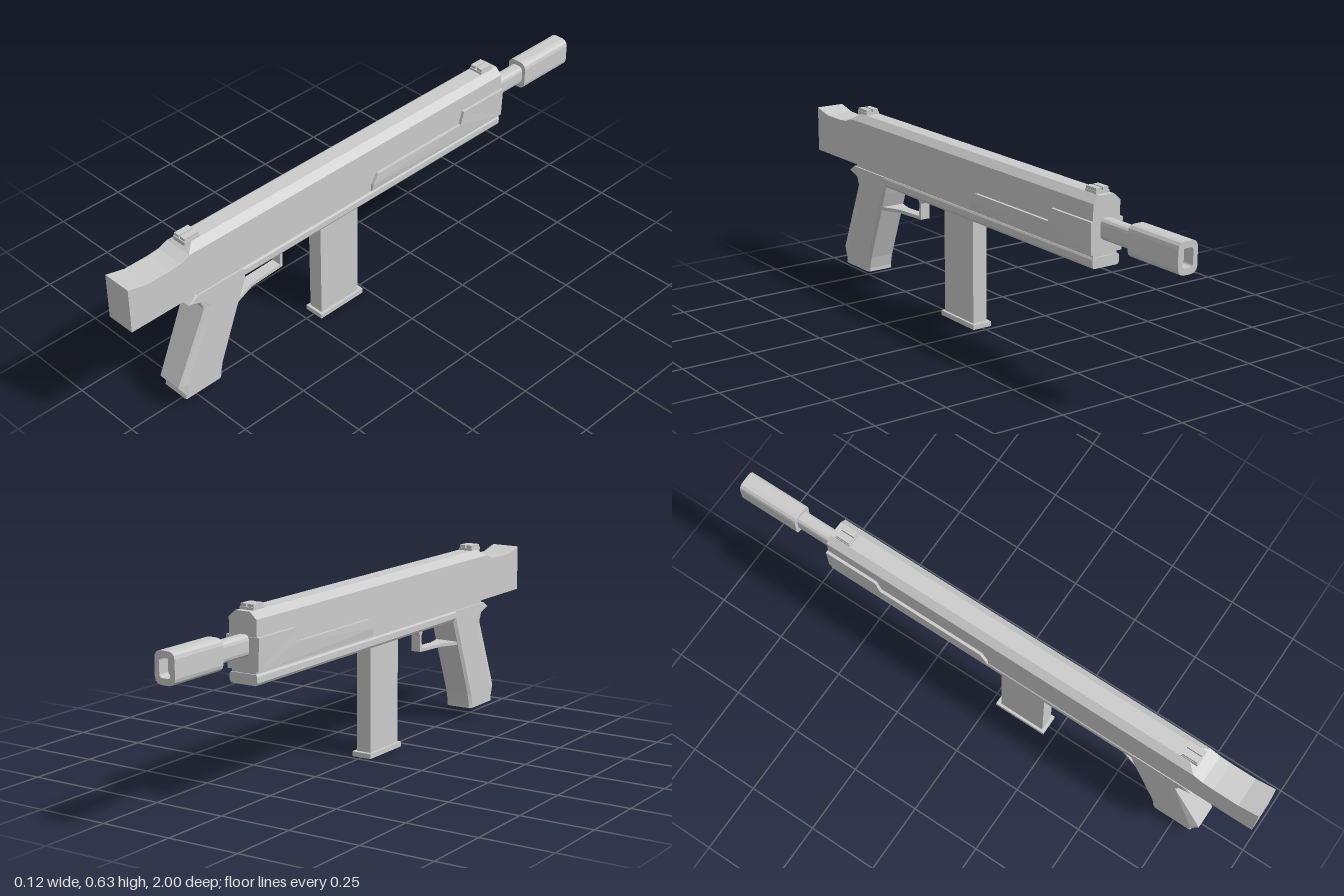
import * as THREE from 'three';

const material = new THREE.MeshStandardMaterial({ color: 0xcccccc, flatShading: true });

// Skin over convex cross-sections, capped at both ends
function loft(sections) {
  const pos = [];
  const tri = (a, b, c) => pos.push(...a, ...b, ...c);
  const n = sections[0].length;
  for (let s = 0; s < sections.length - 1; s++) {
    const p = sections[s], q = sections[s + 1];
    for (let i = 0; i < n; i++) {
      const j = (i + 1) % n;
      tri(p[i], p[j], q[j]);
      tri(p[i], q[j], q[i]);
    }
  }
  const first = sections[0], last = sections[sections.length - 1];
  for (let i = 1; i < n - 1; i++) {
    tri(first[0], first[i + 1], first[i]);
    tri(last[0], last[i], last[i + 1]);
  }
  const g = new THREE.BufferGeometry();
  g.setAttribute('position', new THREE.Float32BufferAttribute(pos, 3));
  g.computeVertexNormals();
  return g;
}

// Side outline given as [z, y], extruded evenly across x
function sideExtrude(points, halfWidth) {
  const shape = new THREE.Shape(points.map(p => new THREE.Vector2(...p)));
  const g = new THREE.ExtrudeGeometry(shape, { depth: halfWidth * 2, bevelEnabled: false });
  return g.rotateY(-Math.PI / 2).translate(halfWidth, 0, 0);
}

function box(x0, x1, y0, y1, z0, z1) {
  return new THREE.BoxGeometry(x1 - x0, y1 - y0, z1 - z0)
    .translate((x0 + x1) / 2, (y0 + y1) / 2, (z0 + z1) / 2);
}

// Rounded rectangle outline as points
function roundedRect(w, h, r, steps = 3) {
  const pts = [];
  [[1, 1], [-1, 1], [-1, -1], [1, -1]].forEach(([sx, sy], k) => {
    for (let i = 0; i <= steps; i++) {
      const a = (k + i / steps) * Math.PI / 2;
      pts.push(new THREE.Vector2(sx * (w - r) + r * Math.cos(a), sy * (h - r) + r * Math.sin(a)));
    }
  });
  return pts;
}

export function createModel() {
  const model = new THREE.Group();
  const add = (name, geometry, parent = model) => {
    const mesh = new THREE.Mesh(geometry, material);
    mesh.name = name;
    parent.add(mesh);
    return mesh;
  };

  // Receiver with chamfered roof, dipping and rising at the tail: [z, shoulder, top, half roof]
  const receiver = [
    [-0.63, 0.59, 0.612, 0.027], [0.735, 0.59, 0.612, 0.027], [0.765, 0.59, 0.5905, 0.05],
    [0.8, 0.577, 0.5775, 0.05], [0.84, 0.573, 0.5735, 0.05],
    [0.93, 0.573, 0.5735, 0.05], [1, 0.59, 0.5905, 0.05],
  ].map(([z, s, t, c]) => [
    [-0.052, 0.43, z], [0.052, 0.43, z], [0.052, s, z], [c, t, z], [-c, t, z], [-0.052, s, z],
  ]);
  add('receiver', loft(receiver));

  // Stepped side panels, drawn in slightly along the bottom edge
  const panel = sideExtrude([
    [-0.632, 0.43], [0, 0.43], [-0.003, 0.455], [-0.025, 0.49],
    [-0.42, 0.49], [-0.435, 0.535], [-0.632, 0.535],
  ], 0.062);
  const pp = panel.attributes.position;
  for (let i = 0; i < pp.count; i++) if (pp.getY(i) < 0.44) pp.setX(i, pp.getX(i) * 0.94);
  panel.computeVertexNormals();
  add('sidePanels', panel);

  // Lower frame and the recessed seam above it
  add('frame', loft([-0.63, 0.74].map(z => [
    [-0.046, 0.385, z], [0.046, 0.385, z], [0.052, 0.394, z],
    [0.052, 0.414, z], [0.048, 0.42, z], [-0.048, 0.42, z], [-0.052, 0.414, z], [-0.052, 0.394, z],
  ])));
  add('frameSeam', box(-0.046, 0.046, 0.41, 0.435, -0.625, 0.74));

  // Grip: [y, front z, rear z, half width of the rear face, chamfer depth]
  const grip = [
    [0.04, 0.665, 0.818, 0.05, 0.005], [0.053, 0.665, 0.814, 0.05, 0.005],
    [0.095, 0.655, 0.84, 0.043, 0.035], [0.355, 0.555, 0.722, 0.05, 0.03],
    [0.385, 0.545, 0.735, 0.05, 0.01], [0.4, 0.545, 0.78, 0.05, 0.01], [0.42, 0.545, 0.752, 0.048, 0.01],
  ].map(([y, f, r, w, d]) => [
    [-w, y, r], [w, y, r], [0.052, y, r - d], [0.052, y, f + 0.012],
    [0.044, y, f], [-0.044, y, f], [-0.052, y, f + 0.012], [-0.052, y, r - d],
  ]);
  add('grip', loft(grip));

  // Trigger guard: lower bar flaring into the grip, front post and gusset
  const guard = new THREE.Group();
  guard.name = 'triggerGuard';
  model.add(guard);
  add('guardBar', loft([[0.365, 0.302, 0.018], [0.5, 0.296, 0.02], [0.59, 0.291, 0.046]].map(([z, y, w]) => [
    [-w, y, z], [w, y, z], [w, y + 0.012, z], [-w, y + 0.012, z],
  ])), guard);
  add('guardPost', sideExtrude([
    [0.365, 0.302], [0.377, 0.302], [0.374, 0.36], [0.39, 0.388], [0.345, 0.388], [0.364, 0.36],
  ], 0.018), guard);

  // Magazine and base plate
  add('magazine', box(-0.027, 0.027, 0.015, 0.39, 0.035, 0.205));
  add('magazineBase', box(-0.036, 0.036, 0, 0.017, 0.02, 0.215));

  // Barrel and hollow muzzle sleeve
  const barrel = new THREE.ExtrudeGeometry(new THREE.Shape(roundedRect(0.025, 0.034, 0.017)),
    { depth: 0.35, bevelEnabled: false });
  add('barrel', barrel.translate(0, 0.507, -0.96));
  const sleeveShape = new THREE.Shape(roundedRect(0.037, 0.051, 0.022));
  sleeveShape.holes.push(new THREE.Path(roundedRect(0.02, 0.03, 0.01).reverse()));
  const sleeve = new THREE.ExtrudeGeometry(sleeveShape, { depth: 0.225, bevelEnabled: false });
  add('muzzleSleeve', sleeve.translate(0, 0.507, -1));

  // Notched sights
  for (const [name, z0, z1] of [['rearSight', 0.7, 0.76], ['frontSight', -0.61, -0.555]]) {
    const sight = new THREE.Group();
    sight.name = name;
    model.add(sight);
    add('sightBase', box(-0.026, 0.026, 0.605, 0.62, z0, z1), sight);
    for (const s of [-1, 1]) {
      add('sightPost', box(s * 0.0135 - 0.0105, s * 0.0135 + 0.0105, 0.615, 0.63, z0 + 0.003, z1 - 0.003), sight);
    }
  }
  return model;
}
